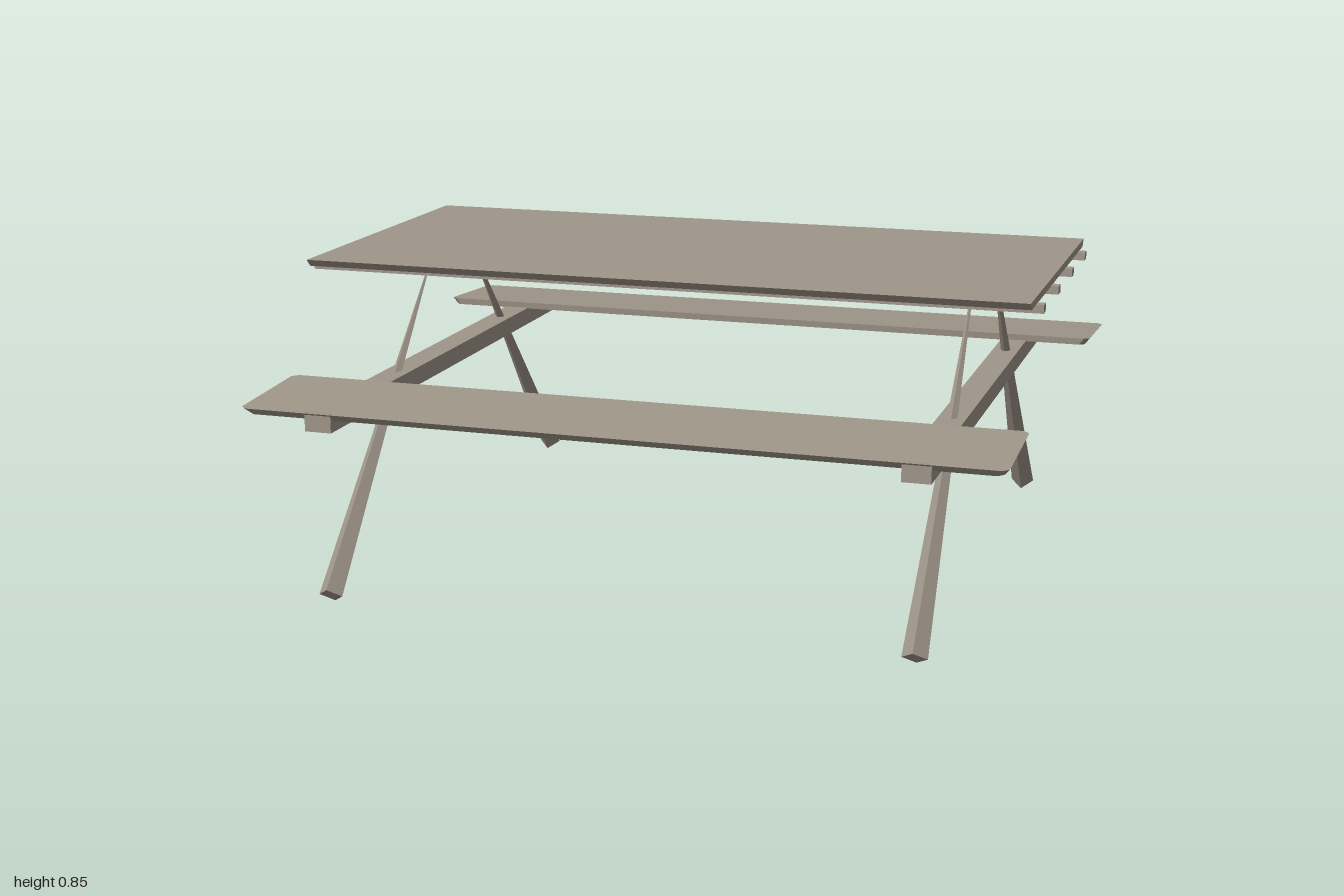
import * as THREE from 'three';

const wood = new THREE.MeshStandardMaterial({ color: 0xa0968a, flatShading: true });
wood.name = 'weathered wood';

function add(group, name, geometry, x = 0, y = 0, z = 0) {
  const mesh = new THREE.Mesh(geometry, wood);
  mesh.name = name;
  mesh.position.set(x, y, z);
  group.add(mesh);
  return mesh;
}

// Closed solid between two matching convex loops, both counter-clockwise from above
function loft(bottom, top) {
  const n = top.length, index = [];
  for (let i = 0; i < n; i++) {
    const j = (i + 1) % n;
    index.push(i, j, n + j, i, n + j, n + i);
    if (i > 0 && i < n - 1) index.push(0, i + 1, i, n, n + i, n + i + 1);
  }
  const g = new THREE.BufferGeometry();
  g.setAttribute('position', new THREE.Float32BufferAttribute([...bottom, ...top].flat(), 3));
  g.setIndex(index);
  const flat = g.toNonIndexed();
  flat.computeVertexNormals();
  return flat;
}

// Bench outline with clipped corners, tilted down toward its outer edge
function benchLoop(halfX, inner, outer, yInner, yOuter) {
  const c = 0.015;
  const y = z => yInner + (yOuter - yInner) * (z - inner) / (outer - inner);
  return [
    [-halfX + c, outer], [halfX - c, outer], [halfX, outer - c], [halfX, inner + c],
    [halfX - c, inner], [-halfX + c, inner], [-halfX, inner + c], [-halfX, outer - c],
  ].map(([x, z]) => [x, y(z), z]);
}

// Square tapered leg running from its foot to a pointed top
function addLeg(group, x, foot, tip) {
  const a = new THREE.Vector3(x, foot[0], foot[1]);
  const b = new THREE.Vector3(x, tip[0], tip[1]);
  const dir = b.clone().sub(a);
  const leg = add(group, 'leg', new THREE.CylinderGeometry(0.002, 0.033, dir.length(), 4));
  leg.position.copy(a).add(b).multiplyScalar(0.5);
  leg.rotation.x = Math.atan2(dir.z, dir.y);
}

export function createModel() {
  const table = new THREE.Group();
  table.name = 'picnicTable';

  // Tabletop with long edges cut back underneath
  const slab = (z, y) => [[-0.98, y, z], [0.98, y, z], [0.98, y, -z], [-0.98, y, -z]];
  add(table, 'tabletop', loft(slab(0.45, 0.825), slab(0.47, 0.845)));

  // Rails under the tabletop
  for (const z of [-0.37, -0.123, 0.123, 0.37]) {
    add(table, 'tableRail', new THREE.BoxGeometry(2, 0.022, 0.032), 0, 0.815, z);
  }

  // Benches
  const bench = loft(
    benchLoop(0.985, 0.537, 0.82, 0.521, 0.503),
    benchLoop(1, 0.535, 0.84, 0.54, 0.522));
  add(table, 'frontBench', bench);
  add(table, 'backBench', bench).rotation.y = Math.PI;

  // Cross beams and splayed legs at both ends
  for (const x of [-0.78, 0.78]) {
    add(table, 'crossBeam', new THREE.BoxGeometry(0.073, 0.05, 1.67), x, 0.498, 0);
    addLeg(table, x, [0.022, 0.803], x < 0 ? [0.795, 0.1] : [0.822, 0.155]);
    addLeg(table, x, [0.022, -0.803], [0.822, -0.155]);
  }
  return table;
}
